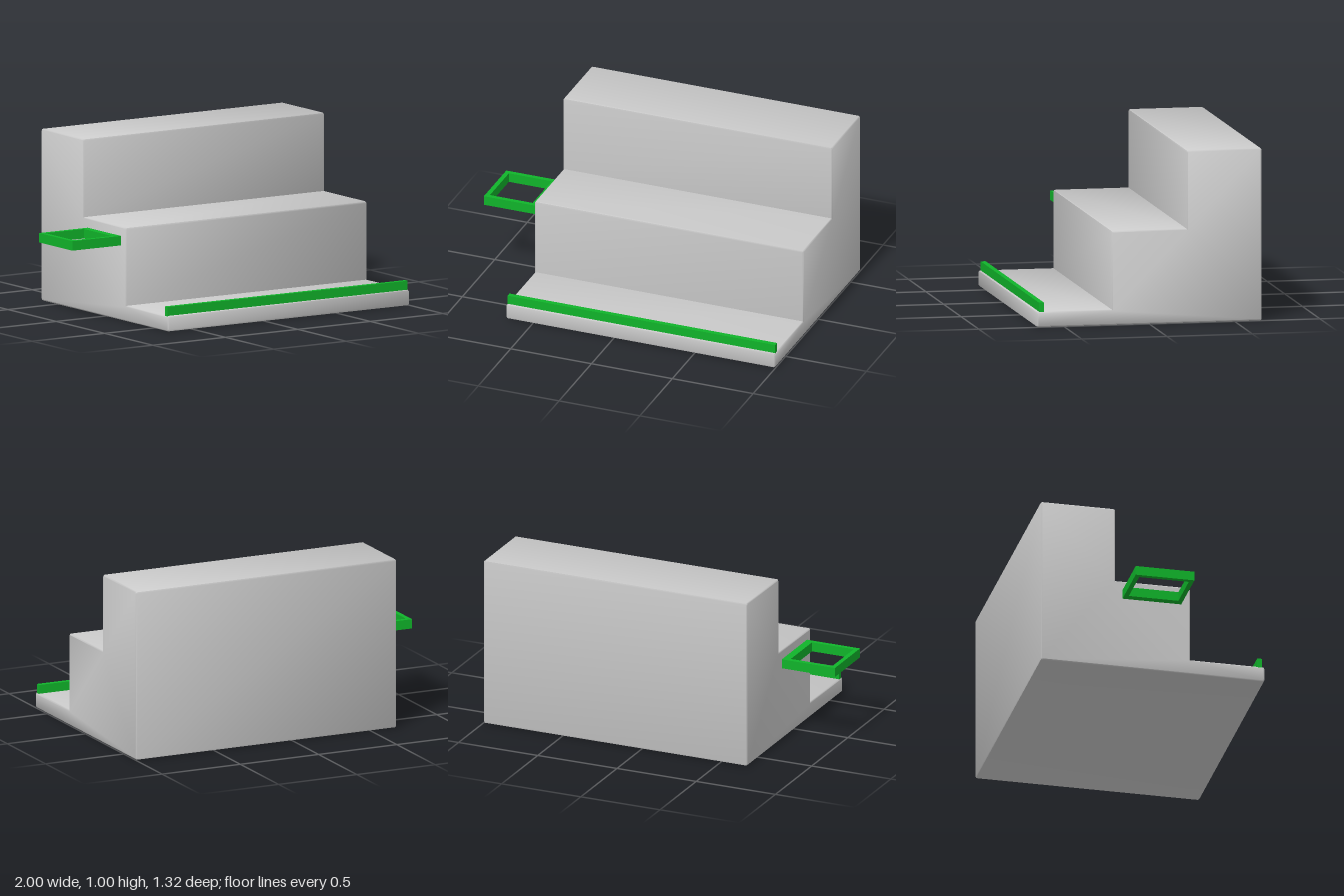
import * as THREE from 'three';
import { toCreasedNormals } from 'three/addons/utils/BufferGeometryUtils.js';

const material = (name, color) => new THREE.MeshStandardMaterial({ name, color });

function addMesh(parent, name, geometry, mat) {
  const mesh = new THREE.Mesh(geometry, mat);
  mesh.name = name;
  parent.add(mesh);
  return mesh;
}

// Closed outline whose convex (counter-clockwise) corners are rounded
function roundedShape(points, radius) {
  const p = points.map(([x, y]) => new THREE.Vector2(x, y));
  const shape = new THREE.Shape();
  p.forEach((c, i) => {
    const toPrev = p[(i + p.length - 1) % p.length].clone().sub(c).normalize();
    const toNext = p[(i + 1) % p.length].clone().sub(c).normalize();
    const convex = toNext.cross(toPrev) > 0;
    const a = c.clone().addScaledVector(toPrev, convex ? radius : 0);
    const b = c.clone().addScaledVector(toNext, convex ? radius : 0);
    if (i === 0) shape.moveTo(a.x, a.y);
    else shape.lineTo(a.x, a.y);
    if (convex) shape.quadraticCurveTo(c.x, c.y, b.x, b.y);
  });
  shape.closePath();
  return shape;
}

export function createModel() {
  const model = new THREE.Group();
  model.name = 'steppedStand';
  const grey = material('lightGrey', 0xcacaca);
  const green = material('green', 0x10b42a);

  // Three-tier body: side profile (-z, y) swept along x
  const left = -0.665, right = 0.998, bevel = 0.007;
  const profile = roundedShape([
    [-0.66, 0], [0.66, 0], [0.66, 1], [0.22, 1],
    [0.22, 0.545], [-0.22, 0.545], [-0.22, 0.09], [-0.66, 0.09],
  ], 0.012);
  const body = new THREE.ExtrudeGeometry(profile, {
    depth: right - left - 2 * bevel, curveSegments: 2,
    bevelEnabled: true, bevelThickness: bevel, bevelSize: bevel, bevelOffset: -bevel, bevelSegments: 1,
  });
  body.rotateY(Math.PI / 2).translate(left + bevel, 0, 0);
  addMesh(model, 'steppedBody', toCreasedNormals(body, 0.9), grey);

  // Raised lip along the front of the lowest tier
  addMesh(model, 'frontRail', new THREE.BoxGeometry(1.655, 0.06, 0.029), green)
    .position.set(0.166, 0.112, 0.631);

  // Rectangular loop on the side: outline (x, -z) with a hole, laid flat
  const rect = (x0, x1, y0, y1, Type) =>
    new Type([[x0, y0], [x1, y0], [x1, y1], [x0, y1]].map(([x, y]) => new THREE.Vector2(x, y)));
  const loop = rect(-1, -0.655, -0.168, 0.178, THREE.Shape);
  loop.holes.push(rect(-0.973, -0.709, -0.141, 0.151, THREE.Path));
  const ring = new THREE.ExtrudeGeometry(loop, { depth: 0.055, bevelEnabled: false });
  ring.rotateX(-Math.PI / 2).translate(0, 0.435, 0);
  addMesh(model, 'sideLoop', ring, green);

  return model;
}
